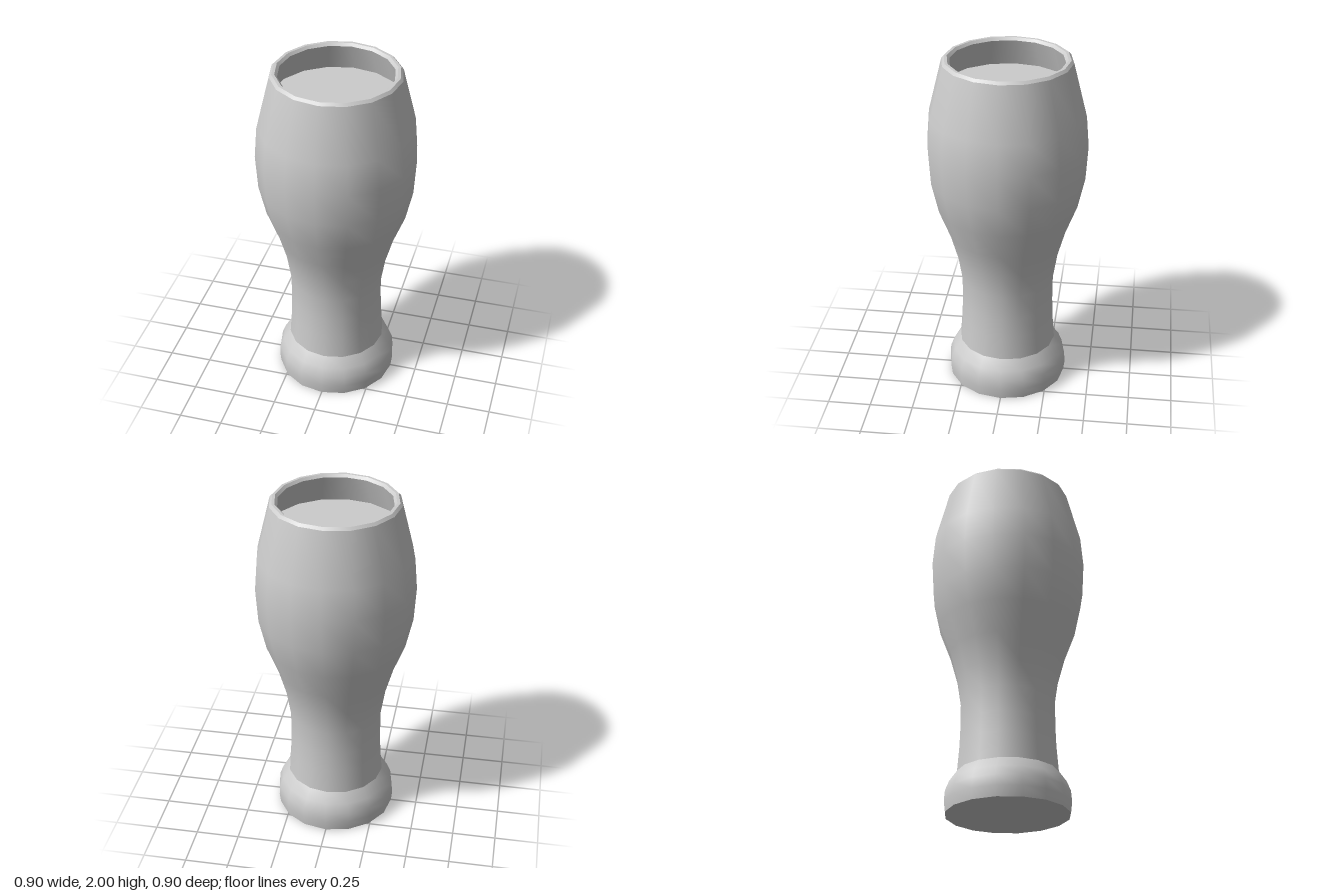
import * as THREE from 'three';

export function createModel() {
  const group = new THREE.Group();
  const grey = new THREE.MeshStandardMaterial({ color: 0xcccccc });
  grey.name = 'light grey';

  // Each part is a sixteen-sided turned surface from [radius, height] points
  const turned = (name, points) => {
    const profile = points.map(([r, y]) => new THREE.Vector2(r, y));
    const mesh = new THREE.Mesh(new THREE.LatheGeometry(profile, 16), grey);
    mesh.name = name;
    group.add(mesh);
  };

  // Rounded foot and its underside
  turned('underside', [[0, 0], [0.345, 0]]);
  turned('foot', [[0.345, 0], [0.352, 0.06], [0.347, 0.12], [0.325, 0.175], [0.283, 0.235]]);

  // Narrow waist swelling into the bowl
  turned('bowl', [
    [0.283, 0.235], [0.272, 0.38], [0.268, 0.5], [0.269, 0.65], [0.293, 0.8], [0.335, 0.95],
    [0.4, 1.12], [0.44, 1.3], [0.452, 1.5], [0.437, 1.68], [0.36, 1.985],
  ]);

  // Bevelled lip, split for crisp edges
  turned('lipOuterBevel', [[0.36, 1.985], [0.346, 2]]);
  turned('lipTop', [[0.346, 2], [0.33, 2]]);
  turned('lipInnerBevel', [[0.33, 2], [0.316, 1.985]]);

  // Inner wall down to the drink
  turned('innerWall', [[0.316, 1.985], [0.365, 1.83]]);
  turned('drinkSurface', [[0.365, 1.83], [0, 1.83]]);

  return group;
}
